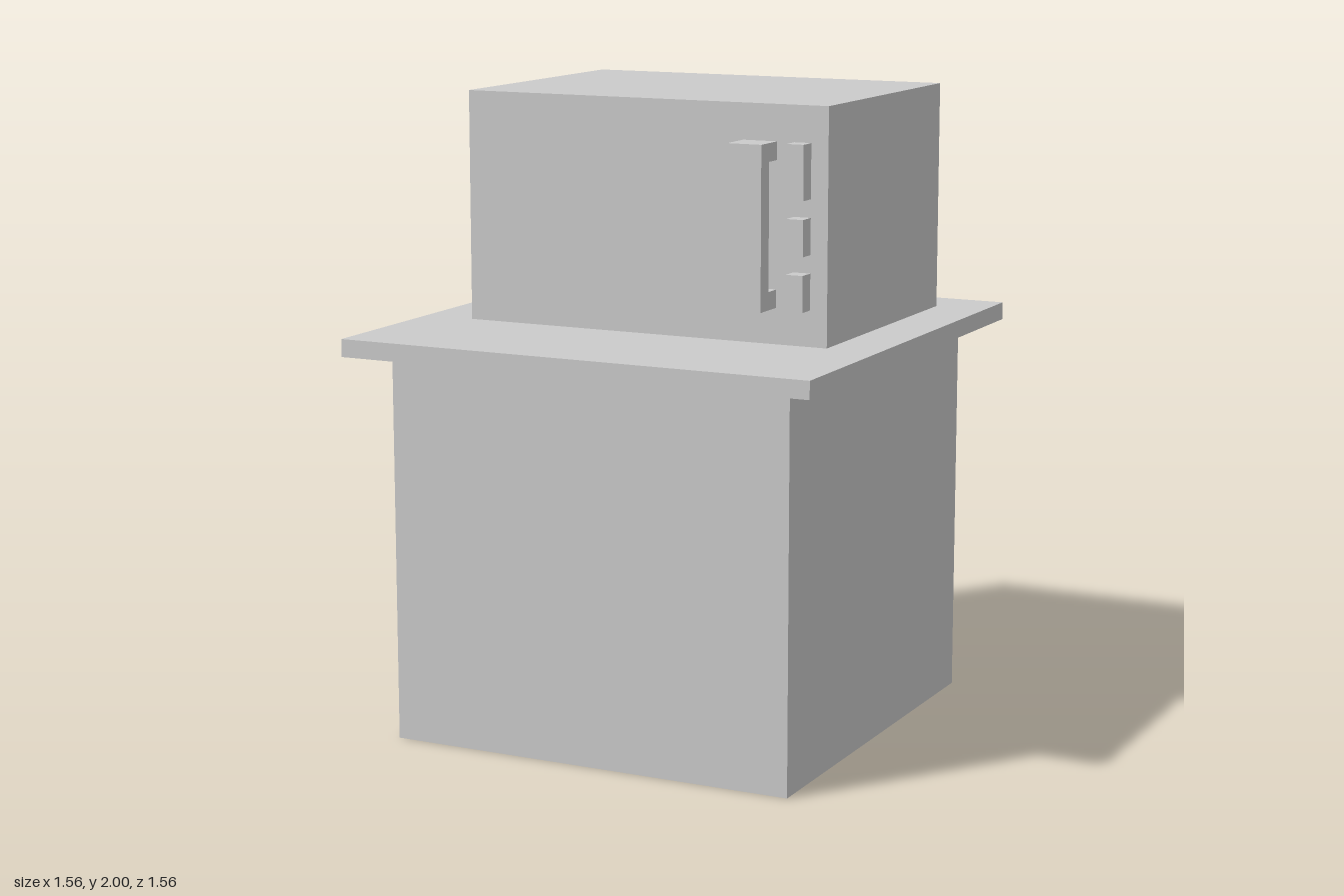
import * as THREE from 'three';

const U = 1 / 18; // grid module that all sizes follow
const material = new THREE.MeshStandardMaterial({ color: 0xcccccc, flatShading: true });

// Box between two corners, given in grid modules
function addBox(parent, name, [x0, y0, z0], [x1, y1, z1]) {
  const geometry = new THREE.BoxGeometry((x1 - x0) * U, (y1 - y0) * U, (z1 - z0) * U);
  const mesh = new THREE.Mesh(geometry, material);
  mesh.name = name;
  mesh.position.set((x0 + x1) / 2 * U, (y0 + y1) / 2 * U, (z0 + z1) / 2 * U);
  parent.add(mesh);
}

// C-shaped door handle: side profile extruded across its width
function createHandle() {
  const profile = [[5, 25], [7, 25], [7, 34], [5, 34], [5, 33], [6, 33], [6, 26], [5, 26]];
  const shape = new THREE.Shape(profile.map(([z, y]) => new THREE.Vector2(-z * U, y * U)));
  const geometry = new THREE.ExtrudeGeometry(shape, { depth: 2 * U, bevelEnabled: false });
  geometry.rotateY(Math.PI / 2); // profile's -x becomes +z, depth runs along +x
  geometry.translate(6 * U, 0, 0);
  const mesh = new THREE.Mesh(geometry, material);
  mesh.name = 'doorHandle';
  return mesh;
}

export function createModel() {
  const model = new THREE.Group();
  model.name = 'ovenOnCabinet';

  // Cabinet and countertop
  addBox(model, 'cabinet', [-12, 0, -12], [12, 22, 12]);
  addBox(model, 'countertop', [-14, 22, -14], [14, 23, 14]);

  // Oven body
  addBox(model, 'ovenBody', [-11, 23, -11], [11, 36, 5]);
  model.add(createHandle());

  // Display and buttons in a column beside the handle
  const controls = new THREE.Group();
  controls.name = 'controls';
  for (const [name, bottom, top] of [['display', 31, 34], ['upperButton', 28, 30], ['lowerButton', 25, 27]]) {
    addBox(controls, name, [9, bottom, 5], [10, top, 6]);
  }
  model.add(controls);

  // Power plug at the back
  addBox(model, 'powerPlug', [9, 23, -12], [10, 25, -11]);

  return model;
}
